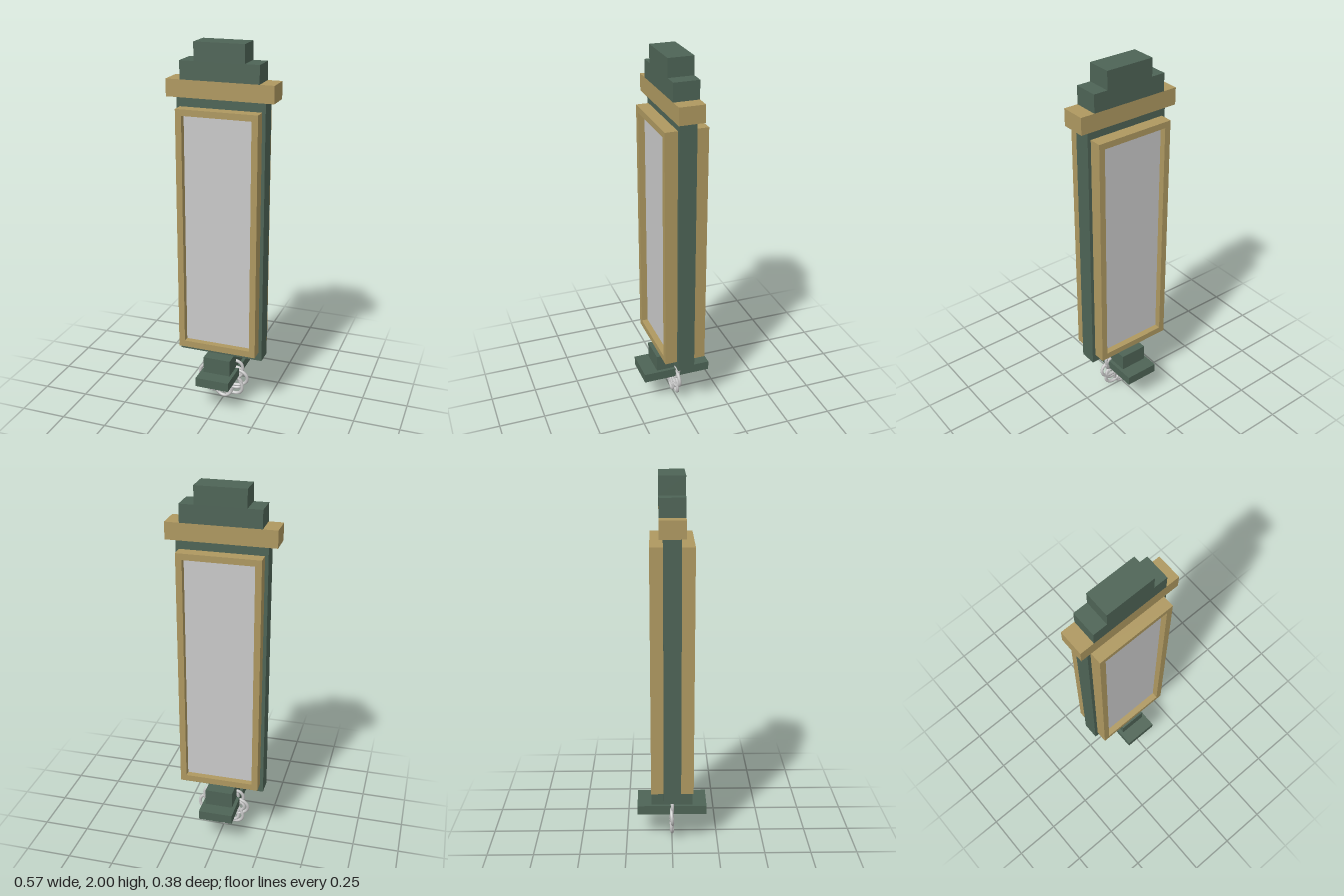
import * as THREE from 'three';

const mat = (name, color) => {
  const m = new THREE.MeshStandardMaterial({ color });
  m.name = name;
  return m;
};

export function createModel() {
  const green = mat('dark green', 0x4e6456);
  const gold = mat('antique gold', 0xae9860);
  const grey = mat('pale grey', 0xc9c9c9);
  const model = new THREE.Group();
  model.name = 'hangingPanel';

  const add = (name, geometry, material) => {
    const mesh = new THREE.Mesh(geometry, material);
    mesh.name = name;
    model.add(mesh);
    return mesh;
  };
  // Box given by half width, bottom, top, half depth
  const slab = (name, hx, y0, y1, hz, material) => {
    const mesh = add(name, new THREE.BoxGeometry(2 * hx, y1 - y0, 2 * hz), material);
    mesh.position.y = (y0 + y1) / 2;
    return mesh;
  };

  // Body and stepped crown
  slab('body', 0.236, 0.297, 1.72, 0.046, green);
  slab('cornice', 0.285, 1.72, 1.81, 0.067, gold);
  slab('lowerCrown', 0.209, 1.81, 1.905, 0.067, green);
  slab('upperCrown', 0.133, 1.905, 2, 0.067, green);

  // Stepped foot
  slab('footBlock', 0.076, 0.206, 0.297, 0.113, green);
  slab('footPlate', 0.094, 0.155, 0.206, 0.19, green);

  // Frame with a recessed panel on both faces
  const rect = (P, hx, y0, y1) => {
    const p = new P();
    p.moveTo(-hx, y0);
    p.lineTo(hx, y0);
    p.lineTo(hx, y1);
    p.lineTo(-hx, y1);
    p.closePath();
    return p;
  };
  const outline = rect(THREE.Shape, 0.218, 0.345, 1.67);
  outline.holes.push(rect(THREE.Path, 0.185, 0.38, 1.637));
  const frameGeo = new THREE.ExtrudeGeometry(outline, { depth: 0.068, bevelEnabled: false });
  frameGeo.translate(0, 0, 0.045);
  const panelGeo = new THREE.BoxGeometry(0.37, 1.257, 0.034);
  panelGeo.translate(0, 1.0085, 0.062);
  for (const [side, turn] of [['front', 0], ['back', Math.PI]]) {
    add(side + 'Frame', frameGeo, gold).rotation.y = turn;
    add(side + 'Panel', panelGeo, grey).rotation.y = turn;
  }

  // Looped cord ornament: a closed rosette that weaves slightly in depth
  const rosette = (turns, lobes, r, wave, phase) => {
    const pts = [];
    const n = 160;
    for (let i = 0; i < n; i++) {
      const a = (i / n) * Math.PI * 2;
      const rad = r + wave * Math.cos(lobes * a + phase);
      pts.push(new THREE.Vector3(
        rad * Math.cos(turns * a + phase),
        0.143 + rad * Math.sin(turns * a + phase) * 0.93,
        0.003 * Math.sin(2 * lobes * a)
      ));
    }
    return new THREE.TubeGeometry(new THREE.CatmullRomCurve3(pts, true), 320, 0.009, 8, true);
  };
  add('outerCord', rosette(3, 8, 0.095, 0.046, 0), grey);
  add('innerCord', rosette(2, 7, 0.085, 0.035, 0.6), grey);

  return model;
}
